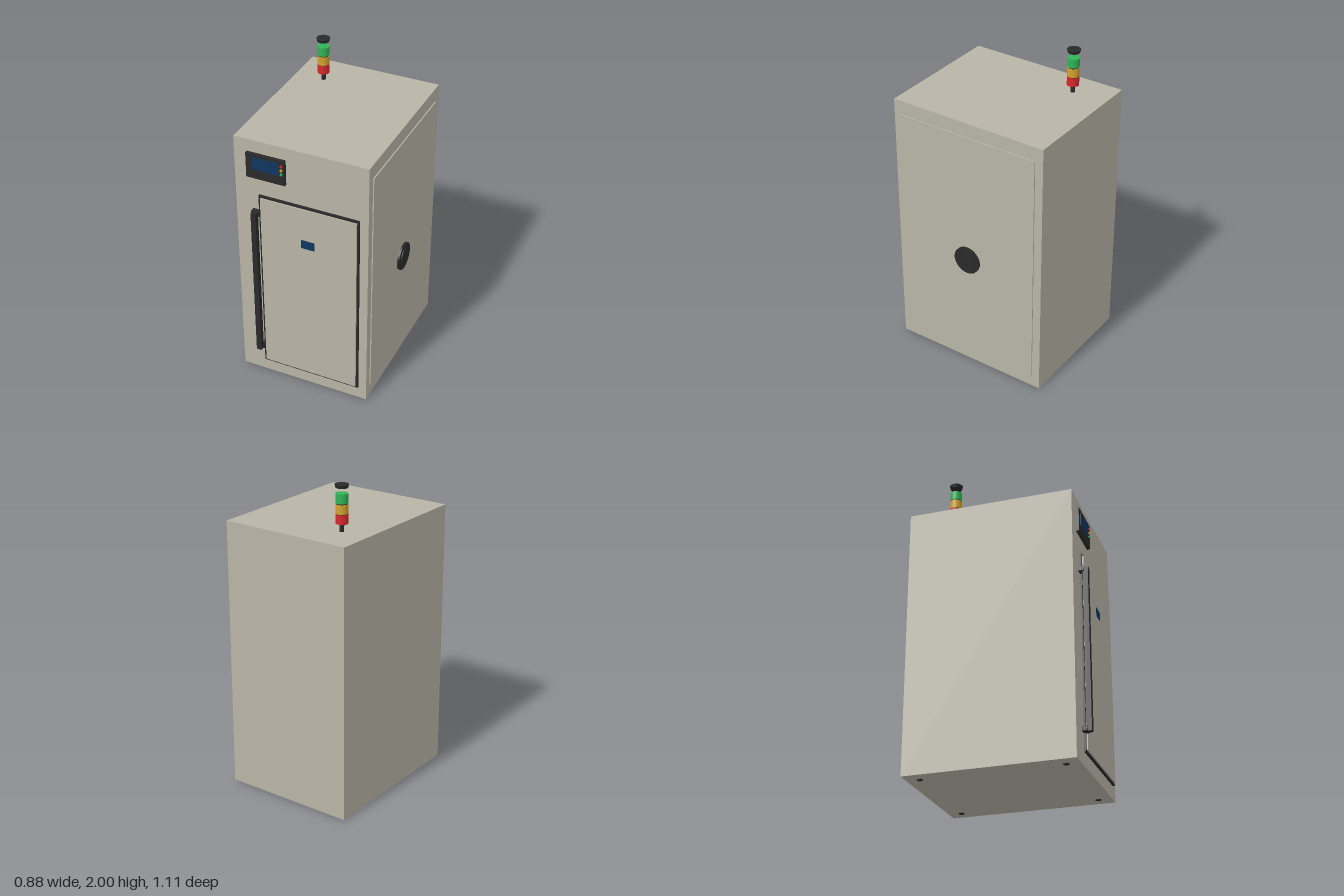
import * as THREE from 'three';

export function createModel() {
  const model = new THREE.Group();
  model.name = 'cabinet';

  const paint = (name, color) => {
    const m = new THREE.MeshStandardMaterial({ color });
    m.name = name;
    return m;
  };
  const beige = paint('beige enamel', 0xb8b4a6);
  const dark = paint('black plastic', 0x2a2a2a);
  const blue = paint('display blue', 0x10365f);
  const red = paint('signal red', 0xd8282b);
  const amber = paint('signal amber', 0xd2a22c);
  const green = paint('signal green', 0x2fb457);

  // Box given by its limits on each axis
  const box = (name, mat, [x0, x1], [y0, y1], [z0, z1]) => {
    const mesh = new THREE.Mesh(new THREE.BoxGeometry(x1 - x0, y1 - y0, z1 - z0), mat);
    mesh.position.set((x0 + x1) / 2, (y0 + y1) / 2, (z0 + z1) / 2);
    mesh.name = name;
    model.add(mesh);
    return mesh;
  };
  // Round part centred on a point, its axis along x, y or z
  const disc = (name, mat, rTop, rBottom, length, pos, axis = 'y') => {
    const geo = new THREE.CylinderGeometry(rTop, rBottom, length, 40);
    if (axis === 'x') geo.rotateZ(-Math.PI / 2);
    if (axis === 'z') geo.rotateX(Math.PI / 2);
    const mesh = new THREE.Mesh(geo, mat);
    mesh.position.set(...pos);
    mesh.name = name;
    model.add(mesh);
    return mesh;
  };

  // Cabinet and low feet
  box('body', beige, [-0.44, 0.415], [0.004, 1.72], [-0.553, 0.495]);
  for (const x of [-0.355, 0.33])
    for (const z of [-0.468, 0.41]) disc('foot', dark, 0.018, 0.018, 0.012, [x, 0.006, z]);

  // Front door with its gasket and label
  box('doorGasket', dark, [-0.285, 0.362], [0.09, 1.357], [0.495, 0.507]);
  box('door', beige, [-0.272, 0.349], [0.103, 1.343], [0.5, 0.515]);
  box('doorLabel', blue, [-0.006, 0.081], [1.067, 1.125], [0.513, 0.517]);

  // Door handle
  box('handleBar', dark, [-0.318, -0.285], [0.2, 1.247], [0.52, 0.553]);
  for (const y of [0.2, 1.217])
    box('handleMount', dark, [-0.328, -0.275], [y, y + 0.03], [0.495, 0.528]);

  // Control panel
  box('controlPanel', dark, [-0.355, -0.105], [1.475, 1.64], [0.495, 0.515]);
  box('screen', blue, [-0.315, -0.142], [1.535, 1.62], [0.513, 0.517]);
  [[red, 1.604], [amber, 1.577], [green, 1.55]].forEach(([mat, y]) =>
    disc('panelButton', mat, 0.008, 0.008, 0.014, [-0.125, y, 0.515], 'z'));

  // Side access panel and cable port
  box('sidePanel', beige, [0.41, 0.422], [0.088, 1.63], [-0.5, 0.443]);
  disc('portFlange', dark, 0.09, 0.09, 0.014, [0.428, 0.775, -0.028], 'x');
  disc('portPlug', dark, 0.06, 0.06, 0.012, [0.434, 0.775, -0.028], 'x');

  // Signal tower on the roof
  const tx = -0.255, tz = -0.323;
  disc('towerPole', dark, 0.014, 0.014, 0.055, [tx, 1.745, tz]);
  [[red, 1.797], [amber, 1.857], [green, 1.919]].forEach(([mat, y]) =>
    disc('towerLight', mat, 0.037, 0.037, 0.056, [tx, y, tz]));
  for (const y of [1.827, 1.888]) disc('towerSpacer', dark, 0.034, 0.034, 0.007, [tx, y, tz]);
  disc('towerCap', dark, 0.042, 0.036, 0.02, [tx, 1.99, tz]);

  return model;
}
